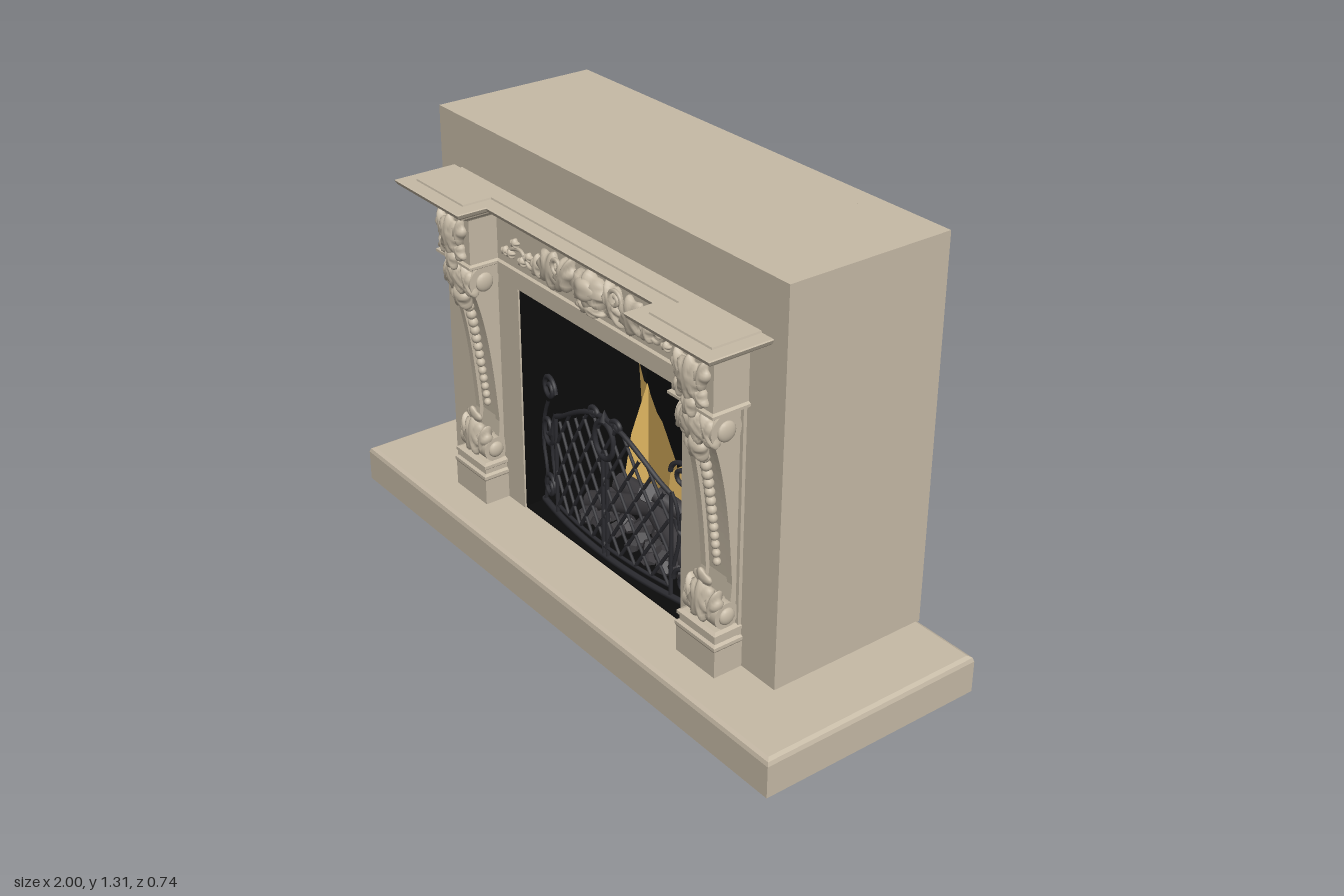
import * as THREE from 'three';

const material = (name, color, side = THREE.FrontSide) => {
  const m = new THREE.MeshStandardMaterial({ color, side });
  m.name = name;
  return m;
};
const stone = material('stone', 0xc6baa6);
const soot = material('soot black', 0x0b0b0b);
const iron = material('wrought iron', 0x2c2c31);
const charcoal = material('charred wood', 0x3c3a3d);
const flame = material('flame gold', 0xdfb560, THREE.DoubleSide);

const V = (x, y, z) => new THREE.Vector3(x, y, z);

function add(parent, name, geo, mat, x = 0, y = 0, z = 0) {
  const m = new THREE.Mesh(geo, mat);
  m.name = name;
  m.position.set(x, y, z);
  parent.add(m);
  return m;
}

// Box given by its limits
function box(parent, name, mat, x0, x1, y0, y1, z0, z1) {
  return add(parent, name, new THREE.BoxGeometry(x1 - x0, y1 - y0, z1 - z0), mat,
    (x0 + x1) / 2, (y0 + y1) / 2, (z0 + z1) / 2);
}

// Stack of horizontal outlines; profile = [[height, offset], ...]
function loft(profile, outline) {
  const pos = [], rings = profile.map(([y, d]) => outline(d).map(([x, z]) => V(x, y, z)));
  const tri = (...p) => p.forEach(v => pos.push(v.x, v.y, v.z));
  for (let i = 0; i < rings.length - 1; i++) {
    const a = rings[i], b = rings[i + 1], n = a.length;
    for (let j = 0; j < n; j++) {
      const k = (j + 1) % n;
      tri(a[j], a[k], b[k]);
      tri(a[j], b[k], b[j]);
    }
  }
  const lo = rings[0], hi = rings[rings.length - 1];
  for (const [i, j, k] of THREE.ShapeUtils.triangulateShape(hi.map(p => new THREE.Vector2(p.x, -p.z)), [])) {
    tri(hi[i], hi[j], hi[k]);
    tri(lo[k], lo[j], lo[i]);
  }
  const g = new THREE.BufferGeometry();
  g.setAttribute('position', new THREE.Float32BufferAttribute(pos, 3));
  g.computeVertexNormals();
  return g;
}
const rect = (w, z0, z1) => d => [[-w - d, z0 - d], [-w - d, z1 + d], [w + d, z1 + d], [w + d, z0 - d]];
// Mantel plan: blocks above both pillars stand forward of the frieze
const mantelPlan = d => {
  const X = 0.64 + d, I = 0.4725 - d, f = 0.28 + d, m = 0.185 + d, b = 0.16;
  return [[-X, b], [-X, f], [-I, f], [-I, m], [I, m], [I, f], [X, f], [X, b]];
};

// Wall with a fireplace opening in its lower edge
function arch(w, y0, y1, ow, oy, depth) {
  const s = new THREE.Shape([[-w, y0], [-ow, y0], [-ow, oy], [ow, oy], [ow, y0], [w, y0], [w, y1], [-w, y1]]
    .map(p => new THREE.Vector2(...p)));
  return new THREE.ExtrudeGeometry(s, { depth, bevelEnabled: false });
}

// Carved lobed leaf: a flattened ball with a scalloped rim
function leaf(parent, name, x, y, z, w, h, d, lobes = 7, amp = 0.16, tilt = 0, roll = 0) {
  const g = new THREE.SphereGeometry(1, 36, 14), p = g.attributes.position;
  for (let i = 0; i < p.count; i++) {
    const a = Math.atan2(p.getX(i), p.getY(i)), r = Math.hypot(p.getX(i), p.getY(i));
    const k = 1 + amp * r * Math.cos(lobes * a);
    p.setXYZ(i, p.getX(i) * k * w, p.getY(i) * k * h, p.getZ(i) * (1 + 0.3 * r * Math.cos(lobes * a)) * d);
  }
  g.computeVertexNormals();
  const m = add(parent, name, g, stone, x, y, z);
  m.rotation.set(tilt, 0, roll);
  return m;
}

const tube = (pts, r, seg = pts.length * 2) =>
  new THREE.TubeGeometry(new THREE.CatmullRomCurve3(pts), seg, r, 6);

// Spiral winding inwards around (cx, cy)
function spiral(cx, cy, r, start, turns, zAt, squash = 1) {
  return Array.from({ length: 19 }, (_, i) => {
    const t = i / 18, a = start + turns * t * 2 * Math.PI, q = r * (1 - 0.75 * t);
    const x = cx + q * Math.cos(a);
    return V(x, cy + q * squash * Math.sin(a), zAt(x));
  });
}

function makePillar(x) {
  const g = new THREE.Group();
  g.name = 'pillar';
  g.position.x = x;
  box(g, 'pedestal', stone, -0.083, 0.083, 0.11, 0.2, 0.16, 0.26);
  add(g, 'pedestalMoulding', loft([[0.195, 0], [0.205, 0.005], [0.215, 0.005], [0.22, -0.004], [0.235, -0.004],
    [0.24, 0.002], [0.25, 0.002], [0.255, -0.01]], rect(0.08, 0.165, 0.258)), stone);

  // Tapering console with raised edges
  const console_ = (w, out) => {
    const s = new THREE.Shape();
    s.moveTo(0.16, 0.25);
    s.lineTo(0.19 + out, 0.25);
    s.lineTo(0.178 + out, 0.38);
    s.bezierCurveTo(0.19 + out, 0.55, 0.205 + out, 0.7, 0.245 + out, 0.82);
    s.lineTo(0.25 + out, 0.915);
    s.lineTo(0.16, 0.915);
    return new THREE.ExtrudeGeometry(s, { depth: w, bevelEnabled: false, curveSegments: 14 })
      .translate(0, 0, -w / 2).rotateY(-Math.PI / 2);
  };
  add(g, 'consoleBody', console_(0.13, 0), stone);
  for (const s of [-1, 1]) add(g, 'consoleEdge', console_(0.022, 0.012), stone, s * 0.055);
  const scroll = (name, r, len, y, z) =>
    add(g, name, new THREE.CylinderGeometry(r, r, len, 28).rotateZ(Math.PI / 2), stone, 0, y, z);
  scroll('topScroll', 0.05, 0.148, 0.863, 0.228);
  scroll('footScroll', 0.04, 0.14, 0.292, 0.21);
  for (const s of [-1, 1]) {
    add(g, 'scrollEye', new THREE.SphereGeometry(0.03, 16, 10).scale(0.4, 1, 1), stone, s * 0.074, 0.863, 0.228);
    add(g, 'scrollEye', new THREE.SphereGeometry(0.026, 16, 10).scale(0.5, 1, 1), stone, s * 0.07, 0.292, 0.21);
  }

  // Hanging string of beads
  for (let i = 0; i < 13; i++) {
    const t = i / 12, r = 0.017 - 0.005 * t;
    add(g, 'bead', new THREE.SphereGeometry(r, 12, 8), stone, 0, 0.76 - 0.34 * t, 0.239 - 0.05 * t ** 0.8);
  }

  // Acanthus carving on the capital, block and foot
  leaf(g, 'capitalLeaf', 0, 0.865, 0.27, 0.062, 0.045, 0.022, 9);
  leaf(g, 'capitalDrop', 0, 0.8, 0.262, 0.036, 0.042, 0.024, 5, 0.14, 0.3);
  for (const s of [-1, 1]) {
    leaf(g, 'capitalSideLeaf', s * 0.048, 0.865, 0.263, 0.026, 0.05, 0.022, 5, 0.15, 0.1, s * 0.3);
    leaf(g, 'blockSideLeaf', s * 0.042, 1.025, 0.285, 0.026, 0.042, 0.02, 5, 0.15, 0, -s * 0.3);
    leaf(g, 'blockSideLeaf', s * 0.04, 0.965, 0.285, 0.024, 0.03, 0.018, 5, 0.15, 0, s * 0.5);
    leaf(g, 'footSideLeaf', s * 0.042, 0.32, 0.232, 0.024, 0.05, 0.024, 5, 0.14, 0, -s * 0.3);
  }
  leaf(g, 'blockLeaf', 0, 1.005, 0.29, 0.05, 0.06, 0.022, 8, 0.1);
  leaf(g, 'blockDrop', 0, 0.93, 0.29, 0.026, 0.035, 0.016, 5, 0.12);
  leaf(g, 'footLeaf', 0, 0.325, 0.24, 0.046, 0.062, 0.024, 7, 0.12, -0.1);
  leaf(g, 'footLeafTip', 0, 0.385, 0.235, 0.034, 0.036, 0.012, 5, 0.14, 0.3);
  return g;
}

function makeFriezeCarving() {
  const g = new THREE.Group();
  g.name = 'friezeCarving';
  const z = 0.19;
  leaf(g, 'cartouche', 0, 1.01, z, 0.075, 0.055, 0.035, 8, 0.1);
  leaf(g, 'cartoucheBoss', 0, 1.015, z + 0.025, 0.045, 0.032, 0.02, 2, 0.05);
  leaf(g, 'cartoucheShell', 0, 0.955, z, 0.06, 0.022, 0.025, 7, 0.14);
  for (const s of [-1, 1]) {
    leaf(g, 'sweepingLeaf', s * 0.115, 1.01, z, 0.036, 0.062, 0.03, 6, 0.14, 0, s * 0.5);
    leaf(g, 'broadLeaf', s * 0.19, 1.0, z, 0.058, 0.054, 0.022, 7, 0.13, 0, s * 0.3);
    leaf(g, 'outerLeaf', s * 0.255, 0.985, z, 0.026, 0.034, 0.018, 5, 0.17);
    const vine = [[0.26, 0.97], [0.3, 0.965], [0.34, 1.0], [0.38, 0.995], [0.425, 0.965]];
    add(g, 'vine', tube(vine.map(([x, y]) => V(s * x, y, z)), 0.006, 24), stone);
    for (const [x, y] of [[0.3, 0.995], [0.335, 0.97], [0.37, 1.015], [0.395, 0.975], [0.42, 0.975]])
      leaf(g, 'vineLeaf', s * x, y, z, 0.018, 0.013, 0.012, 5, 0.2);
    add(g, 'leafScroll', tube(spiral(s * 0.135, 1.035, 0.03, 0, s * 1.3, () => z + 0.02), 0.007, 40), stone);
  }
  return g;
}

function makeScreen() {
  const g = new THREE.Group();
  g.name = 'fireScreen';
  const bow = x => 0.15 - 0.3 * x * x;
  const topY = x => 0.47 + 0.125 * Math.cos(Math.min(Math.abs(x), 0.28) / 0.28 * Math.PI / 2) ** 1.2;
  const bar = (name, pts, r = 0.006) => add(g, name, tube(pts.map(([x, y]) => V(x, y, bow(x))), r), iron);
  const span = (x0, x1, f) => Array.from({ length: 15 }, (_, i) => {
    const x = x0 + (x1 - x0) * i / 14;
    return [x, f(x)];
  });
  bar('bottomRail', span(-0.38, 0.38, () => 0.132), 0.01);
  bar('lowerRail', span(-0.28, 0.28, () => 0.165));
  bar('topRail', span(-0.28, 0.28, topY), 0.008);
  for (const x of [-0.28, -0.01, 0.01, 0.28]) bar('stile', [[x, 0.13], [x, 0.3], [x, 0.48]], 0.007);

  // Diamond lattice, cut off by the top rail
  for (const s of [-1, 1]) for (let k = -9; k <= 9; k++) {
    const pts = [];
    for (let y = 0.165; y < 0.6; y += 0.015) {
      const x = k * 0.068 + s * (y - 0.165) * 0.62;
      if (Math.abs(x) < 0.28 && y < topY(x)) pts.push([x, y]);
    }
    if (pts.length > 2) bar('lattice', pts, 0.0055);
  }

  // Medallion, finial and scrolled wings
  add(g, 'medallion', new THREE.TorusGeometry(0.045, 0.008, 8, 28).scale(1, 1.3, 1), iron, 0, 0.525, 0.152);
  add(g, 'finial', new THREE.ConeGeometry(0.016, 0.035, 8), iron, 0, 0.605, 0.15);
  for (const s of [-1, 1]) {
    const from = s > 0 ? Math.PI : 0;
    const wing = (x, y, r, a, turns, q) =>
      add(g, 'wingScroll', tube(spiral(s * x, y, r, from + s * a, s * turns, bow, q), 0.0075, 44), iron);
    wing(0.32, 0.545, 0.045, 0, -1.4, 1);
    wing(0.335, 0.4, 0.04, 0, 1.3, 1.4);
    wing(0.33, 0.2, 0.04, 0, -1.3, 1.2);
    wing(0.055, 0.59, 0.025, 0, -1.2, 0.8);
    bar('wingStem', [[s * 0.37, 0.13], [s * 0.35, 0.24], [s * 0.375, 0.34], [s * 0.36, 0.44], [s * 0.33, 0.5]]);
    bar('wingCurl', [[s * 0.28, 0.48], [s * 0.3, 0.44], [s * 0.31, 0.34], [s * 0.29, 0.24]]);
  }
  return g;
}

function makeFire() {
  const g = new THREE.Group();
  g.name = 'fire';
  // Thin flame sheets
  const sheet = (pts, z, turn, cx) => {
    const s = new THREE.Shape(pts.map(([x, y]) => new THREE.Vector2(x - cx, y)));
    add(g, 'flame', new THREE.ShapeGeometry(s), flame, cx, 0, z).rotation.y = turn;
  };
  const left = [[-0.27, 0.57], [-0.25, 0.44], [-0.26, 0.4], [-0.24, 0.33], [-0.26, 0.15], [0.08, 0.15],
    [0.07, 0.29], [0.01, 0.37], [-0.09, 0.45], [-0.13, 0.46], [-0.21, 0.52], [-0.23, 0.52]];
  const right = [[0.27, 0.52], [0.2, 0.48], [0.1, 0.42], [0.02, 0.35], [0.0, 0.15], [0.28, 0.15], [0.28, 0.34],
    [0.26, 0.38], [0.28, 0.43]];
  sheet(left, -0.13, -0.25, -0.1);
  sheet(right, -0.1, 0.25, 0.14);
  sheet([[-0.28, 0.15], [-0.25, 0.36], [-0.2, 0.53], [-0.17, 0.4], [-0.1, 0.15]], -0.16, 1.1, -0.19);

  // Logs on a bed of coals
  for (const [x, y, z, len, r, turn, tilt] of [[-0.12, 0.2, 0, 0.28, 0.035, 0.2, 0.3], [0.13, 0.2, 0, 0.32, 0.036, -0.2, -0.25],
    [0, 0.18, -0.1, 0.5, 0.04, 0.05, 0], [-0.05, 0.25, -0.04, 0.16, 0.03, -0.6, 0.6], [0.14, 0.25, -0.06, 0.26, 0.03, 0.4, -0.4]]) {
    add(g, 'log', new THREE.CylinderGeometry(r * 0.85, r, len, 9).rotateZ(Math.PI / 2), charcoal, x, y, z).rotation.set(0, turn, tilt);
  }
  for (let i = 0; i < 22; i++) {
    const r = 0.022 + 0.012 * Math.abs(Math.sin(i * 2.3));
    add(g, 'coal', new THREE.DodecahedronGeometry(r), charcoal,
      -0.25 + 0.024 * i, 0.145 + 0.02 * Math.sin(i * 1.7), 0.02 + 0.05 * Math.sin(i * 4.1)).rotation.set(i, i * 2, 0);
  }
  return g;
}

export function createModel() {
  const model = new THREE.Group();
  model.name = 'fireplace';
  add(model, 'hearthSlab', loft([[0, 0], [0.1, 0], [0.112, -0.004], [0.118, -0.015]], rect(1, -0.37, 0.37)), stone);

  // Chimney breast, hollowed for the firebox
  add(model, 'chimneyBreast', arch(0.785, 0.115, 1.305, 0.395, 0.865, 0.465), stone, 0, 0, -0.3);
  box(model, 'chimneyBack', stone, -0.785, 0.785, 0.115, 1.305, -0.37, -0.3);

  const mantel = new THREE.Group();
  mantel.name = 'mantel';
  mantel.position.x = 0.0075;
  model.add(mantel);

  // Firebox lining
  for (const s of [-1, 1]) box(mantel, 'fireboxSide', soot, s * 0.389 - 0.004, s * 0.389 + 0.004, 0.118, 0.862, -0.299, 0.17);
  box(mantel, 'fireboxTop', soot, -0.39, 0.39, 0.857, 0.864, -0.299, 0.17);
  box(mantel, 'fireboxFloor', soot, -0.39, 0.39, 0.117, 0.123, -0.299, 0.17);
  box(mantel, 'fireboxBack', soot, -0.39, 0.39, 0.118, 0.862, -0.3, -0.293);

  // Surround, frieze and stepped shelf
  add(mantel, 'surround', arch(0.635, 0.115, 0.93, 0.387, 0.86, 0.014), stone, 0, 0, 0.162);
  add(mantel, 'architrave', loft([[0.915, 0], [0.92, 0.008], [0.928, 0.008], [0.933, 0]], mantelPlan), stone);
  add(mantel, 'frieze', loft([[0.93, 0], [1.085, 0]], mantelPlan), stone);
  add(mantel, 'shelf', loft([[1.075, 0.006], [1.085, 0.012], [1.088, 0.026], [1.098, 0.036], [1.106, 0.052], [1.11, 0.062],
    [1.116, 0.064], [1.12, 0.075], [1.126, 0.082], [1.138, 0.088], [1.14, 0.084]], mantelPlan), stone);
  add(mantel, 'shelfTop', loft([[1.138, 0.042], [1.145, 0.04]], mantelPlan), stone);
  for (const s of [-1, 1]) mantel.add(makePillar(s * 0.5575));
  mantel.add(makeFriezeCarving(), makeScreen(), makeFire());
  return model;
}
